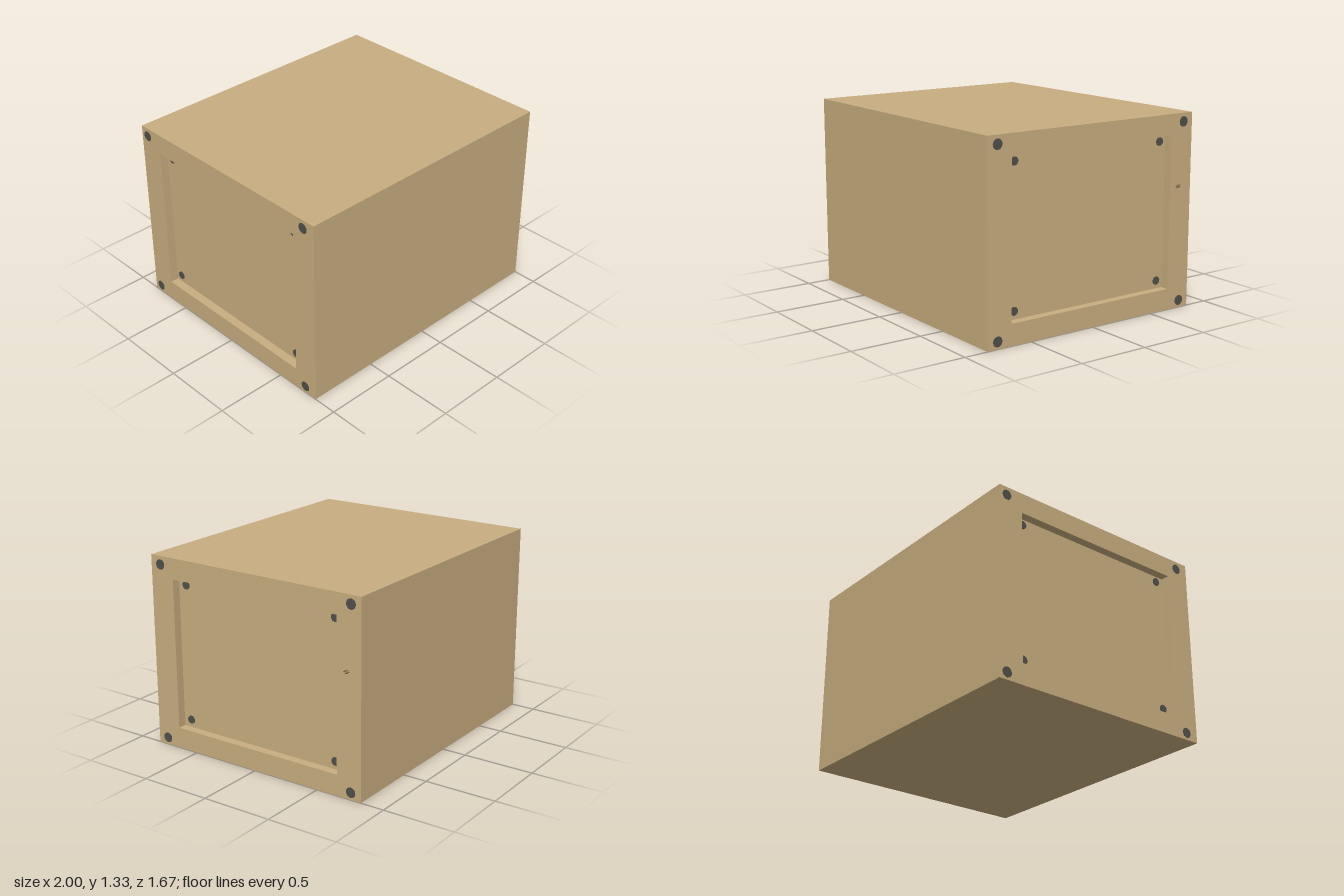
import * as THREE from 'three';

const W = 2, H = 1.333, D = 1.666, RECESS = 0.06;
const HOLE = { z: 0.652, y0: 0.145, y1: 1.19 };

export function createModel() {
  const wood = new THREE.MeshStandardMaterial({ color: 0xc8ad7f });
  wood.name = 'wood';
  const iron = new THREE.MeshStandardMaterial({ color: 0x4f4f4b });
  iron.name = 'dark iron';
  const slot = new THREE.MeshStandardMaterial({ color: 0x5a4626 });
  slot.name = 'dark brown';

  const model = new THREE.Group();
  model.name = 'crate';
  const add = (name, geometry, material, x = 0, y = 0, z = 0) => {
    const mesh = new THREE.Mesh(geometry, material);
    mesh.name = name;
    mesh.position.set(x, y, z);
    model.add(mesh);
  };

  // Outer shell: a rectangular ring extruded along x
  const ring = (z, y0, y1, Type) => new Type([
    new THREE.Vector2(-z, y0), new THREE.Vector2(z, y0),
    new THREE.Vector2(z, y1), new THREE.Vector2(-z, y1),
  ]);
  const outline = ring(D / 2, 0, H, THREE.Shape);
  outline.holes.push(ring(HOLE.z, HOLE.y0, HOLE.y1, THREE.Path));
  const shell = new THREE.ExtrudeGeometry(outline, { depth: W, bevelEnabled: false });
  shell.translate(0, 0, -W / 2).rotateY(-Math.PI / 2);
  add('shell', shell, wood);

  const panel = new THREE.BoxGeometry(0.04, HOLE.y1 - HOLE.y0, HOLE.z * 2);
  const bolt = (r) => new THREE.CylinderGeometry(r, r, 0.008, 16).rotateZ(Math.PI / 2);
  const frameBolt = bolt(0.035), panelBolt = bolt(0.028);

  // Both ends: sunken panel with bolts on the frame and on the panel
  for (const [side, s, frameZ] of [['left', 1, [-0.757, 0.757]], ['right', -1, [-0.775, 0.738]]]) {
    const sunk = W / 2 - RECESS;
    add(`${side}Panel`, panel, wood, s * (sunk - 0.02), (HOLE.y0 + HOLE.y1) / 2);
    for (const z of frameZ)
      for (const y of [0.05, 1.275]) add(`${side}FrameBolt`, frameBolt, iron, s * (W / 2 - 0.002), y, z);
    for (const z of [-0.6, 0.59])
      for (const y of [0.2, 1.148]) add(`${side}PanelBolt`, panelBolt, iron, s * (sunk + 0.002), y, z);
  }

  // Tiny slits on the left end frame
  for (const [i, width] of [0.025, 0.045, 0.03].entries())
    add('slit', new THREE.BoxGeometry(0.002, 0.004, width), slot, W / 2, 0.832 + i * 0.009, -0.725);

  return model;
}
